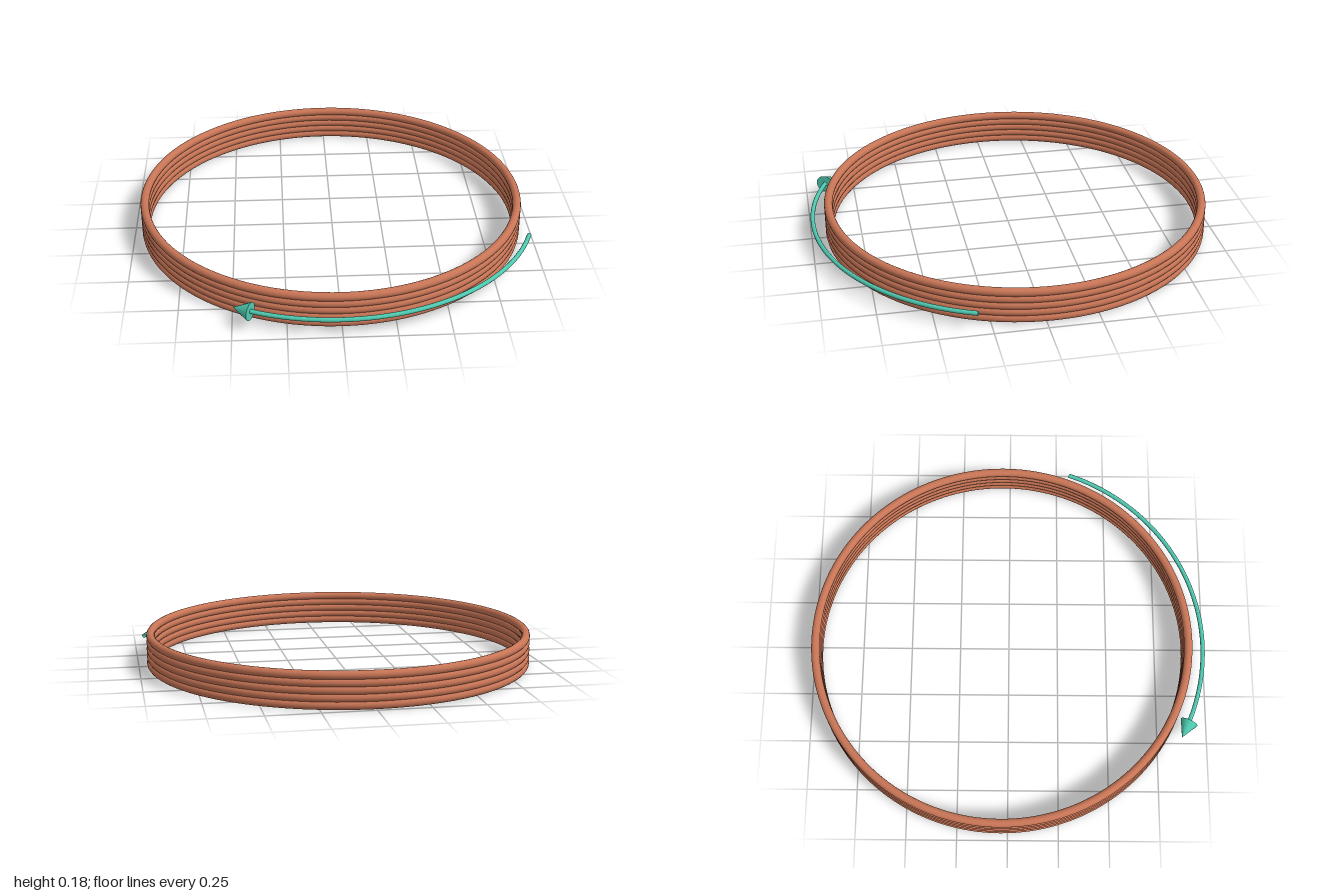
import * as THREE from 'three';

export function createModel() {
  const model = new THREE.Group();
  const copper = new THREE.MeshStandardMaterial({ color: 0xc87556 });
  copper.name = 'copper';
  const teal = new THREE.MeshStandardMaterial({ color: 0x4ec9b0 });
  teal.name = 'teal';

  const add = (name, geometry, material, parent) => {
    const mesh = new THREE.Mesh(geometry, material);
    mesh.name = name;
    parent.add(mesh);
    return mesh;
  };

  // Five stacked turns of wire
  const coil = new THREE.Group();
  coil.name = 'coil';
  coil.position.set(-0.004, 0, -0.036);
  model.add(coil);
  const wire = 0.021, pitch = 0.034;
  const turn = new THREE.TorusGeometry(0.943, wire, 16, 160).rotateX(Math.PI / 2);
  for (let i = 0; i < 5; i++) {
    add('coilTurn' + (i + 1), turn, copper, coil).position.y = wire + i * pitch;
  }

  // Curved arrow running round the front of the coil
  const arrow = new THREE.Group();
  arrow.name = 'currentArrow';
  arrow.position.set(-0.004, wire + 2 * pitch, -0.036);
  model.add(arrow);
  const radius = 1.025, shaftRadius = 0.011;
  const rad = THREE.MathUtils.degToRad;
  const at = (deg) => new THREE.Vector3(Math.cos(rad(deg)), 0, Math.sin(rad(deg))).multiplyScalar(radius);
  const tangent = (deg) => new THREE.Vector3(-Math.sin(rad(deg)), 0, Math.cos(rad(deg)));

  const points = [];
  for (let i = 0; i <= 24; i++) points.push(at(20 + (95 * i) / 24));
  const path = new THREE.CatmullRomCurve3(points);
  add('arrowShaft', new THREE.TubeGeometry(path, 64, shaftRadius, 10), teal, arrow);

  // Flat cap closing the tail end
  const cap = add('arrowTailCap', new THREE.CircleGeometry(shaftRadius, 10), teal, arrow);
  cap.position.copy(at(20));
  cap.quaternion.setFromUnitVectors(new THREE.Vector3(0, 0, 1), tangent(20).negate());

  // Cone head pointing along the curve
  const head = add('arrowHead', new THREE.ConeGeometry(0.045, 0.088, 16), teal, arrow);
  head.position.copy(at(116));
  head.quaternion.setFromUnitVectors(new THREE.Vector3(0, 1, 0), tangent(116));

  return model;
}
